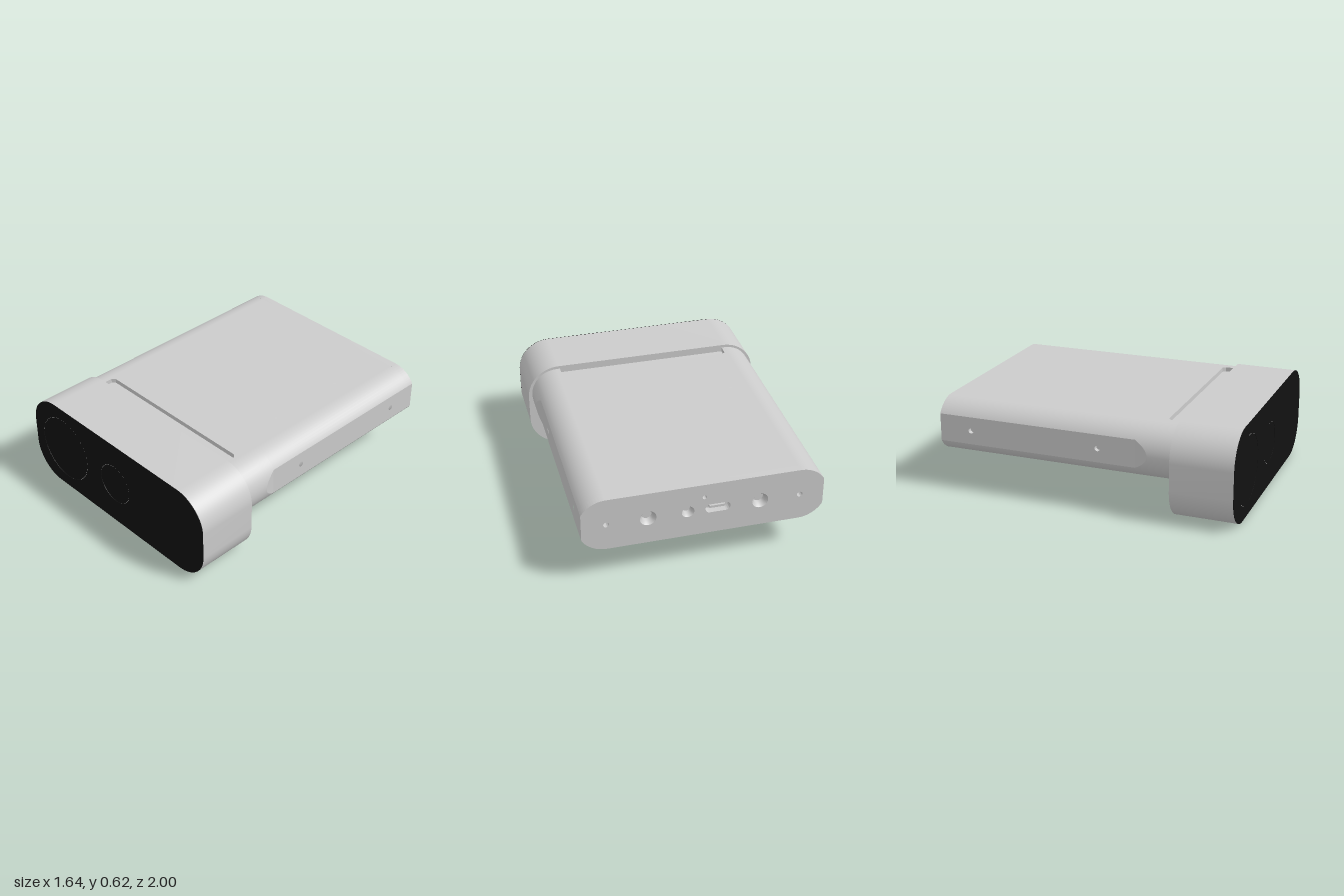
import * as THREE from 'three';
import { toCreasedNormals } from 'three/addons/utils/BufferGeometryUtils.js';

const grey = new THREE.MeshStandardMaterial({ color: 0xcccccc });
const greyThin = new THREE.MeshStandardMaterial({ color: 0xcccccc, side: THREE.DoubleSide });
const black = new THREE.MeshStandardMaterial({ color: 0x111111 });

// Body section: a capsule with flats cut on its sides
const MID = 0.4175, R = 0.1825, CX = 0.6125, FLAT = 0.77, FULL = CX + R;
const Z0 = -0.95, Z1 = 0.59, RAMP0 = 0.35, RAMP1 = 0.435, SKIN = 0.03;
const flatHalf = (w) => Math.sqrt(Math.max(0, R * R - (w - CX) ** 2));

// Lengthwise stations [z, half width], with the ramp where the side flats run out
const ramp = [];
for (let i = 0; i <= 10; i++) {
  const t = 1 - (1 - i / 10) ** 2;
  ramp.push([RAMP0 + (RAMP1 - RAMP0) * t, FLAT + (FULL - FLAT) * t]);
}
const stations = [[Z0, FLAT], ...ramp, [Z1, FULL]];

function roundRect(hw, hh, r, Type = THREE.Shape, cx = 0, cy = 0) {
  const s = new Type();
  s.absarc(cx + hw - r, cy + hh - r, r, 0, Math.PI / 2);
  s.absarc(cx - hw + r, cy + hh - r, r, Math.PI / 2, Math.PI);
  s.absarc(cx - hw + r, cy - hh + r, r, Math.PI, Math.PI * 1.5);
  s.absarc(cx + hw - r, cy - hh + r, r, Math.PI * 1.5, Math.PI * 2);
  s.closePath();
  return s;
}

function hole(shape, x, y, r) {
  const p = new THREE.Path();
  p.absarc(x, y, r, 0, Math.PI * 2, true);
  shape.holes.push(p);
}

function extrude(shape, depth) {
  const g = new THREE.ExtrudeGeometry(shape, { depth, bevelEnabled: false, curveSegments: 14 });
  return toCreasedNormals(g, 0.5);
}

// Grid of rows of {p, n} points as a smooth surface
function gridGeometry(rows, flip) {
  const pos = [], nor = [], idx = [], m = rows[0].length;
  rows.flat().forEach(({ p, n }) => { pos.push(...p); nor.push(...n); });
  for (let j = 0; j < rows.length - 1; j++) {
    for (let i = 0; i < m - 1; i++) {
      const a = j * m + i, b = a + 1, c = a + m, d = c + 1;
      idx.push(...(flip ? [a, c, b, b, c, d] : [a, b, c, b, d, c]));
    }
  }
  const g = new THREE.BufferGeometry();
  g.setAttribute('position', new THREE.Float32BufferAttribute(pos, 3));
  g.setAttribute('normal', new THREE.Float32BufferAttribute(nor, 3));
  g.setIndex(idx);
  return g;
}

// One long rounded edge of the body
function edgeGeometry(sx, sy) {
  const rows = stations.map(([z, w]) => {
    const a0 = Math.acos(Math.min(1, (w - CX) / R));
    return Array.from({ length: 11 }, (_, i) => {
      const a = a0 + (Math.PI / 2 - a0) * i / 10;
      const n = [sx * Math.cos(a), sy * Math.sin(a), 0];
      return { p: [n[0] * R + sx * CX, n[1] * R + MID, z], n };
    });
  });
  return gridGeometry(rows, sx * sy < 0);
}

// Sloped run-out at the front of a side flat
function rampGeometry(sx) {
  const n = new THREE.Vector3(sx * (RAMP1 - RAMP0), 0, -(FULL - FLAT)).normalize().toArray();
  const rows = ramp.map(([z, w]) => [-1, 1].map((s) => (
    { p: [sx * w, MID + s * flatHalf(w), z], n })));
  return gridGeometry(rows, sx < 0);
}

// Flat top or bottom outline; s = -1 for the top, whose shape y is -z
function deckShape(s) {
  const zs = [[-CX, Z0], [CX, Z0], [CX, Z1], [0.59, Z1], [0.59, 0.52], [0.57, 0.5],
    [-0.57, 0.5], [-0.59, 0.52], [-0.59, Z1], [-CX, Z1]];
  return new THREE.Shape(zs.map(([x, z]) => new THREE.Vector2(x, s * z)));
}

export function createModel() {
  const model = new THREE.Group();
  const add = (parent, name, geo, mat = grey) => {
    const m = new THREE.Mesh(geo, mat);
    m.name = name;
    parent.add(m);
    return m;
  };
  const group = (name) => {
    const g = new THREE.Group();
    g.name = name;
    model.add(g);
    return g;
  };

  // Front head with its black window and two lenses
  const head = group('head');
  add(head, 'headShell', extrude(roundRect(0.82, 0.31, 0.22), 0.407)).position.set(0, 0.31, 0.59);
  const window_ = roundRect(0.82, 0.31, 0.22);
  const lenses = [['wideLens', -0.51, 0.23], ['narrowLens', 0, 0.14]];
  lenses.forEach(([name, x, r]) => {
    hole(window_, x, 0, r);
    add(head, name, new THREE.CircleGeometry(r - 0.003, 48), black).position.set(x, 0.31, 0.999);
  });
  add(head, 'frontWindow', extrude(window_, 0.003), black).position.set(0, 0.31, 0.997);

  // Body: inner core, then rounded edges and flat panels around it
  const body = group('body');
  const core = roundRect(0.74, R - SKIN, R - SKIN - 0.001);
  add(body, 'bodyCore', extrude(core, Z1 - Z0)).position.set(0, MID, Z0);
  for (const sx of [-1, 1]) {
    for (const sy of [-1, 1]) add(body, 'roundedEdge', edgeGeometry(sx, sy));
    add(body, 'flatRunOut', rampGeometry(sx));

    // Side flat with two screw holes; shape x is -sx * z
    const h = flatHalf(FLAT);
    const corners = [[Z0, -h], [RAMP0, -h], [RAMP0, h], [Z0, h]];
    const side = new THREE.Shape(corners.map(([z, y]) => new THREE.Vector2(-sx * z, y)));
    for (const z of [0.1, -0.78]) hole(side, -sx * z, 0, 0.018);
    const m = add(body, 'sidePanel', extrude(side, SKIN));
    m.rotation.y = sx * Math.PI / 2;
    m.position.set(sx * (FLAT - SKIN), MID, 0);
  }

  // Top panel with a ring of six microphone holes and one in the middle
  const top = deckShape(-1);
  hole(top, 0, 0.24, 0.012);
  for (let i = 0; i < 6; i++) {
    const a = i * Math.PI / 3;
    hole(top, 0.56 * Math.sin(a), 0.24 + 0.56 * Math.cos(a), 0.012);
  }
  const topPanel = add(body, 'topPanel', extrude(top, SKIN));
  topPanel.rotation.x = -Math.PI / 2;
  topPanel.position.y = MID + R - SKIN;

  // Bottom panel with the mounting holes
  const bottom = deckShape(1);
  hole(bottom, 0, 0.18, 0.065);
  hole(bottom, 0, -0.02, 0.045);
  const bottomPanel = add(body, 'bottomPanel', extrude(bottom, SKIN));
  bottomPanel.rotation.x = Math.PI / 2;
  bottomPanel.position.y = MID - R + SKIN;

  // Rear panel with screws, round sockets and a slotted port
  const rear = group('rear');
  rear.position.set(0, MID, Z0);
  rear.rotation.y = Math.PI;
  const a0 = Math.acos((FLAT - CX) / R);
  const plate = new THREE.Shape();
  plate.absarc(CX, 0, R, a0, Math.PI / 2);
  plate.absarc(-CX, 0, R, Math.PI / 2, Math.PI - a0);
  plate.absarc(-CX, 0, R, Math.PI + a0, Math.PI * 1.5);
  plate.absarc(CX, 0, R, Math.PI * 1.5, Math.PI * 2 - a0);
  plate.closePath();
  for (const x of [-0.615, 0.615]) hole(plate, x, 0, 0.018);
  hole(plate, 0, 0.09, 0.014);
  plate.holes.push(roundRect(0.08, 0.03, 0.0295, THREE.Path, 0.086, 0));
  for (const [x, r] of [[-0.355, 0.052], [-0.105, 0.04], [0.357, 0.052]]) {
    hole(plate, x, 0, r);
    const profile = [[0.64, 0.001], [0.7, 0.03], [1, 0.048]];
    const collar = new THREE.LatheGeometry(profile.map(([k, y]) => new THREE.Vector2(r * k, y)), 32);
    collar.rotateX(Math.PI / 2);
    add(rear, 'socketCollar', collar, greyThin).position.x = x;
  }
  add(rear, 'rearPanel', extrude(plate, 0.05));
  add(rear, 'portTongue', new THREE.BoxGeometry(0.1, 0.016, 0.036)).position.set(0.086, 0, 0.018);

  return model;
}
